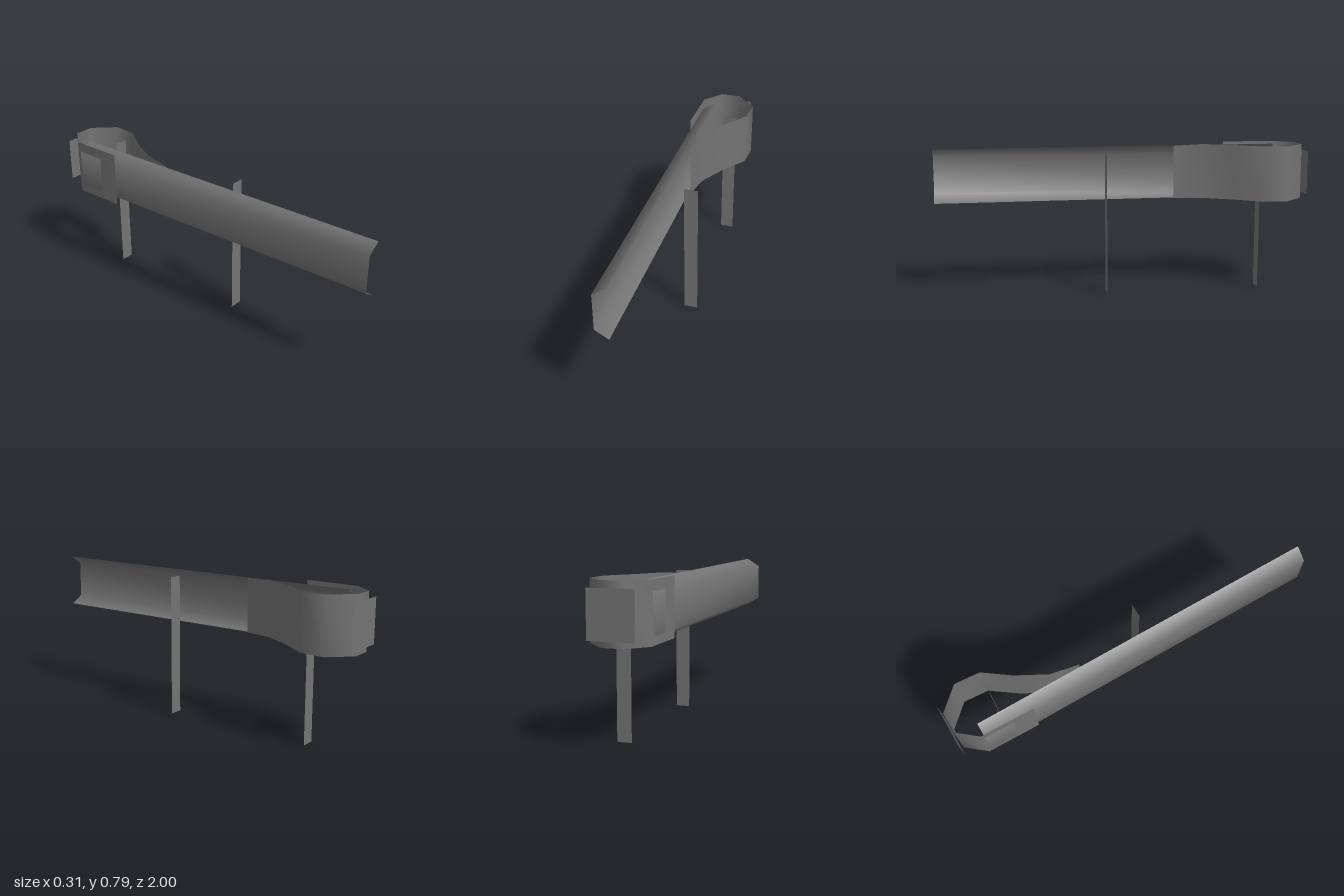
import * as THREE from 'three';

// Open sheet spanning rows of equal-length point lists, smooth shaded
function sheet(rows) {
  const n = rows[0].length;
  const index = [];
  for (let r = 0; r < rows.length - 1; r++) {
    for (let i = 0; i < n - 1; i++) {
      const a = r * n + i, b = a + n;
      index.push(a, b, a + 1, b, b + 1, a + 1);
    }
  }
  const geo = new THREE.BufferGeometry();
  geo.setAttribute('position', new THREE.Float32BufferAttribute(rows.flat(2), 3));
  geo.setIndex(index);
  geo.computeVertexNormals();
  return geo;
}

export function createModel() {
  const group = new THREE.Group();
  const steel = new THREE.MeshStandardMaterial({ color: 0x747474, side: THREE.DoubleSide });
  steel.name = 'grey steel';

  function add(name, geo, x = 0, y = 0, z = 0) {
    const mesh = new THREE.Mesh(geo, steel);
    mesh.name = name;
    mesh.position.set(x, y, z);
    group.add(mesh);
  }

  // Long rail: channel with splayed flanges
  const profile = [[-0.08, 0.487], [-0.151, 0.53], [-0.151, 0.73], [-0.08, 0.776]];
  add('rail', sheet([1, -0.87].map((z) => profile.map(([x, y]) => [x, y, z]))));

  // Curled end band: x, z and top height along its path
  const path = [
    [-0.067, -0.297, 0.775], [-0.04, -0.45, 0.785], [0.045, -0.605, 0.785],
    [0.143, -0.74, 0.785], [0.153, -0.875, 0.785], [0.047, -0.988, 0.785],
    [-0.062, -0.988, 0.785], [-0.148, -0.885, 0.785], [-0.153, -0.6, 0.785],
  ];
  add('endBand', sheet([
    path.map(([x, z]) => [x, 0.487, z]),
    path.map(([x, z, top]) => [x, top, z]),
  ]));

  // Flat support posts
  const postGeo = new THREE.PlaneGeometry(0.074, 0.76);
  add('frontPost', postGeo, 0.046, 0.38, 0.095);
  add('backPost', postGeo, 0.046, 0.38, -0.744);

  // Marker plate behind the curl, facing back
  const plateGeo = new THREE.PlaneGeometry(0.23, 0.235).rotateY(Math.PI);
  add('endPlate', plateGeo, 0, 0.634, -1);

  return group;
}
